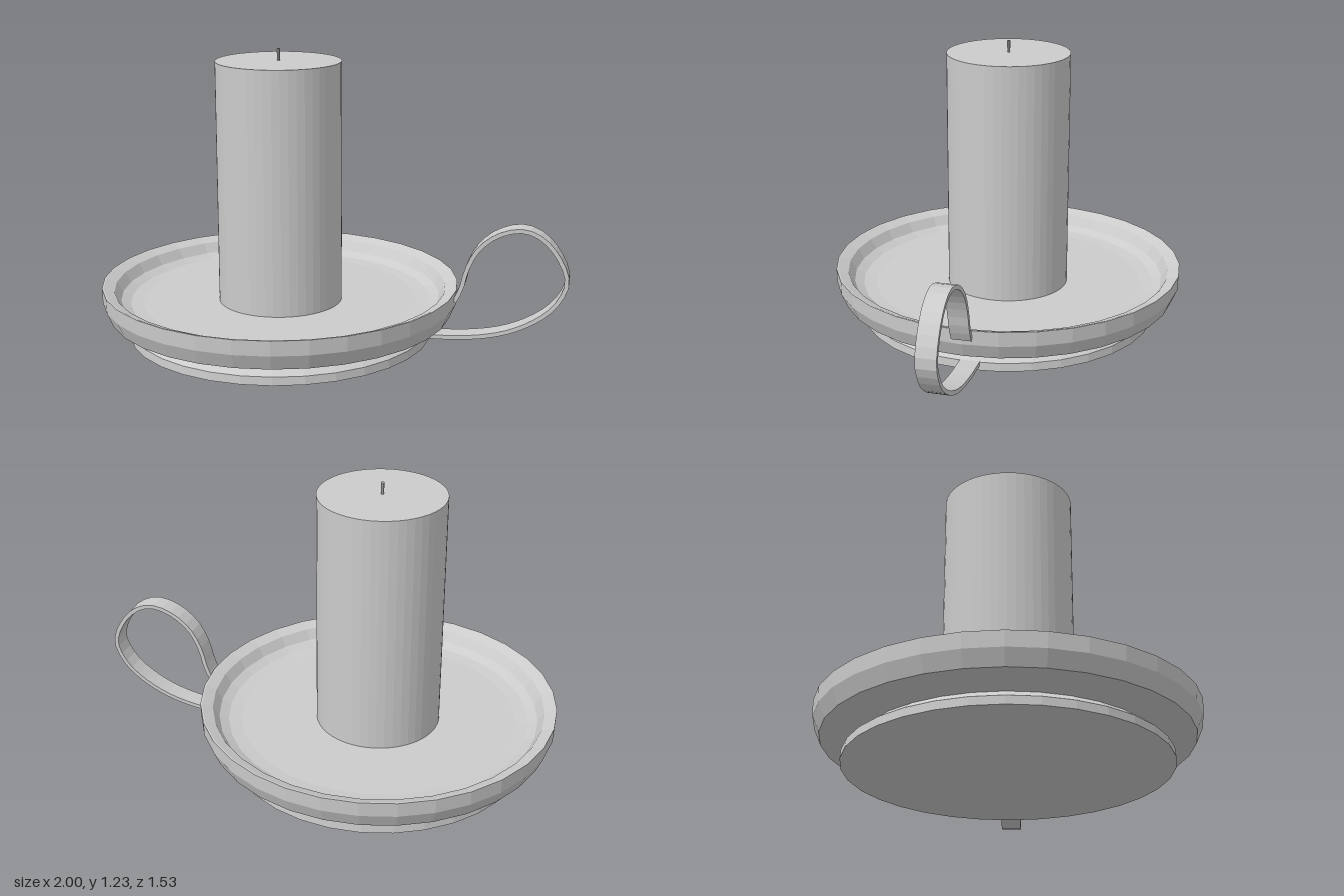
import * as THREE from 'three';

const AXIS_X = -0.235; // shared axis of dish and candle

export function createModel() {
  const model = new THREE.Group();
  const material = new THREE.MeshStandardMaterial({ color: 0xcccccc, flatShading: true });

  function add(name, geometry, x = 0, y = 0) {
    const mesh = new THREE.Mesh(geometry, material);
    mesh.name = name;
    mesh.position.set(x, y, 0);
    model.add(mesh);
  }

  // Dish: foot, waist, rounded outer wall, rim and recessed floor
  const profile = [
    [0, 0], [0.65, 0], [0.647, 0.035], [0.6, 0.07],
    [0.62, 0.075], [0.735, 0.102], [0.762, 0.165], [0.764, 0.228],
    [0.757, 0.228], [0.712, 0.21], [0.685, 0.168], [0.645, 0.15], [0.59, 0.145], [0, 0.145],
  ].map(([r, y]) => new THREE.Vector2(r, y));
  add('dish', new THREE.LatheGeometry(profile, 32), AXIS_X);

  // Candle and wick
  add('candle', new THREE.CylinderGeometry(0.265, 0.265, 1.04, 48), AXIS_X, 0.66);
  add('wick', new THREE.CylinderGeometry(0.007, 0.006, 0.07, 8), AXIS_X, 1.195);

  // Handle: a looped strip, offset either side of its centre line
  const path = new THREE.SplineCurve([
    [0.525, 0.19], [0.553, 0.25], [0.575, 0.335], [0.62, 0.422], [0.7, 0.488],
    [0.8, 0.514], [0.885, 0.482], [0.95, 0.41], [0.988, 0.32], [0.975, 0.25],
    [0.92, 0.172], [0.82, 0.103], [0.7, 0.057], [0.55, 0.033], [0.38, 0.028],
  ].map(([x, y]) => new THREE.Vector2(x, y)));
  const outer = [], inner = [];
  const steps = 36, half = 0.009, width = 0.084;
  for (let i = 0; i <= steps; i++) {
    const p = path.getPointAt(i / steps);
    const t = path.getTangentAt(i / steps);
    const n = new THREE.Vector2(-t.y, t.x).multiplyScalar(half);
    outer.push(p.clone().add(n));
    inner.unshift(p.clone().sub(n));
  }
  const strip = new THREE.ExtrudeGeometry(new THREE.Shape([...outer, ...inner]), {
    depth: width, bevelEnabled: false,
  });
  strip.translate(0, 0, -width / 2);
  add('handle', strip);

  return model;
}
